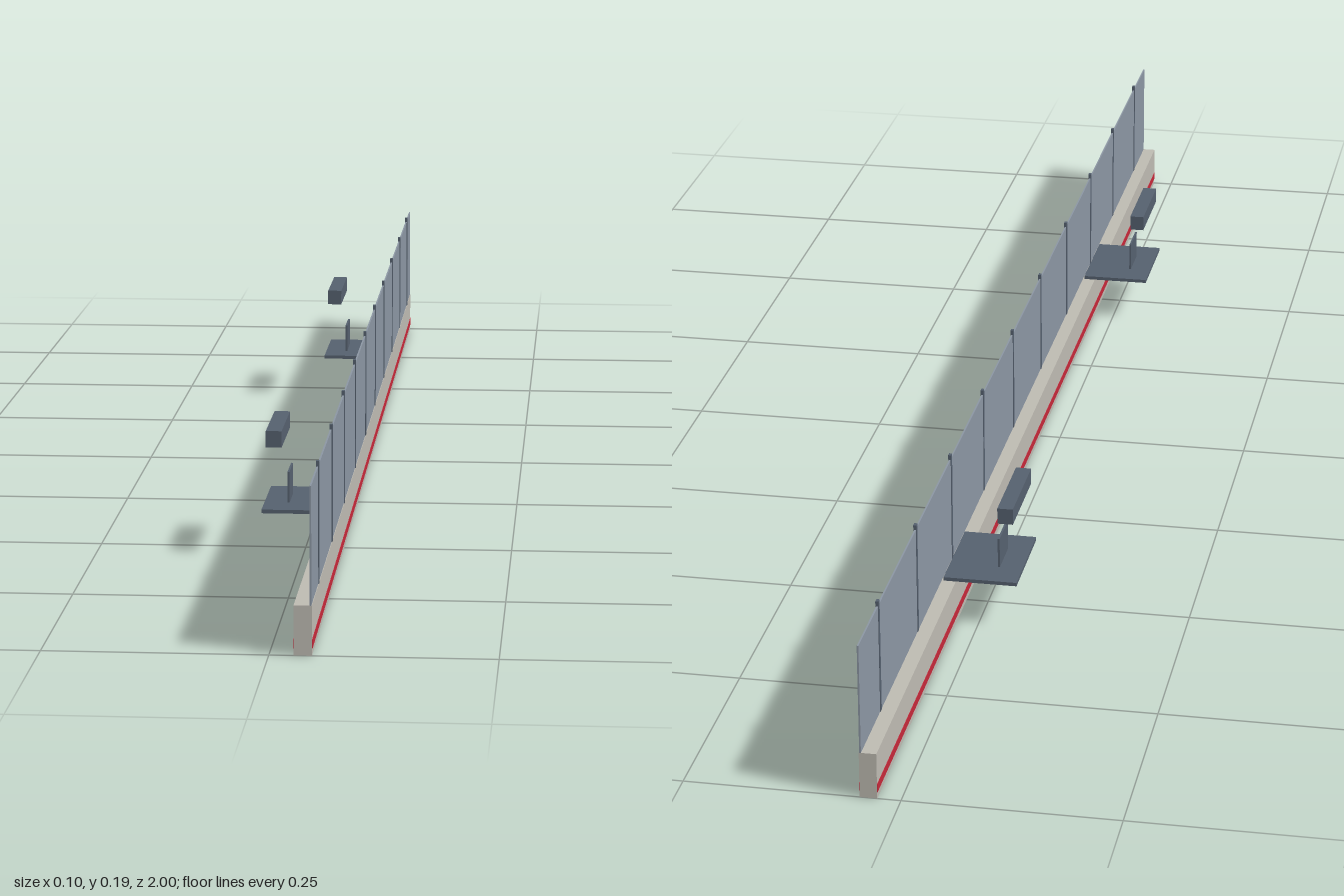
import * as THREE from 'three';

const material = (name, color) => {
  const m = new THREE.MeshStandardMaterial({ color });
  m.name = name;
  return m;
};

export function createModel() {
  const model = new THREE.Group();
  model.name = 'trackWall';

  const concrete = material('concrete', 0xbdbab1);
  const glass = material('greyGlass', 0x8b95a2);
  const steel = material('darkSteel', 0x55606e);
  const red = material('redStripe', 0xc4283a);

  // Box given by its limits in x, y and z
  const block = (parent, name, mat, [x0, x1], [y0, y1], [z0, z1]) => {
    const mesh = new THREE.Mesh(new THREE.BoxGeometry(x1 - x0, y1 - y0, z1 - z0), mat);
    mesh.position.set((x0 + x1) / 2, (y0 + y1) / 2, (z0 + z1) / 2);
    mesh.name = name;
    parent.add(mesh);
  };

  // Low wall with a painted stripe along both long sides
  block(model, 'wall', concrete, [0.027, 0.047], [0, 0.056], [-1, 1]);
  block(model, 'outerStripe', red, [0.047, 0.0476], [0.008, 0.018], [-1, 1]);
  block(model, 'innerStripe', red, [0.0264, 0.027], [0.008, 0.018], [-1, 1]);

  // Screen along the outer edge, held by ten posts
  block(model, 'screen', glass, [0.0444, 0.0464], [0.056, 0.189], [-1, 1]);
  for (let i = 0; i < 10; i++) {
    const z = -0.9 + i * 0.2;
    block(model, 'post', steel, [0.0438, 0.0474], [0.056, 0.195], [z - 0.003, z + 0.003]);
  }

  // Two stands: platform, upright panel and the beam hanging above
  for (const z of [-0.5, 0.5]) {
    const stand = new THREE.Group();
    stand.name = 'stand';
    stand.position.z = z;
    block(stand, 'platform', steel, [-0.048, 0.042], [0.0565, 0.061], [-0.065, 0.065]);
    block(stand, 'panel', steel, [-0.02, -0.0175], [0.061, 0.099], [-0.026, 0.026]);
    block(stand, 'beam', steel, [-0.043, -0.024], [0.136, 0.156], [-0.06, 0.06]);
    model.add(stand);
  }
  return model;
}
